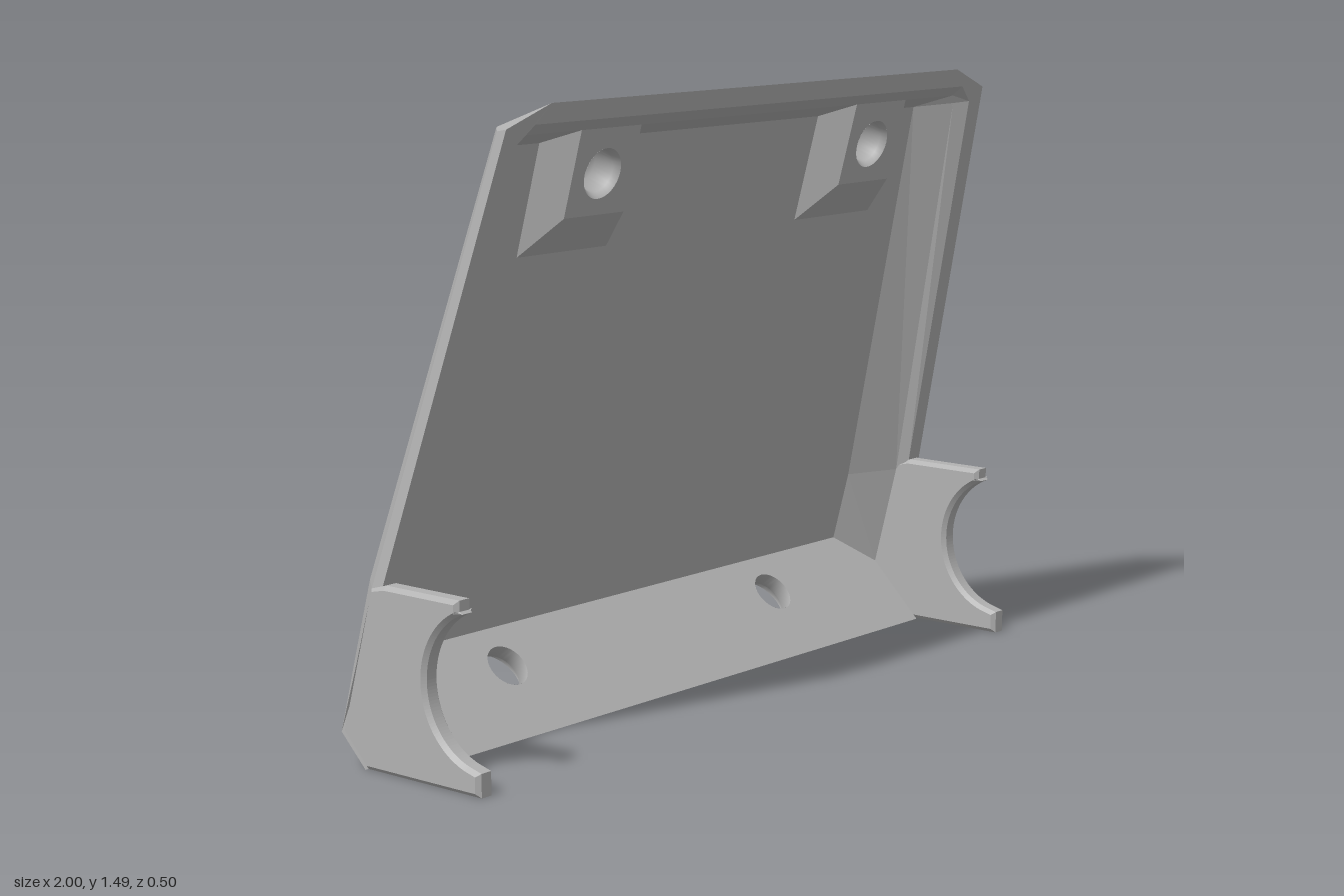
import * as THREE from 'three';

const grey = new THREE.MeshStandardMaterial({ color: 0xb2b2b2, side: THREE.DoubleSide });
grey.name = 'plain grey';

// Sloping planes of the leaning shell: z as a function of height
const zInner = y => -0.205 + 0.277 * (y - 0.22);
const zRim = y => -0.035 + 0.269 * (y - 0.43);
const zBoss = y => zInner(y) + 0.073;

const flip = row => row.map(([x, y, z]) => [-x, y, z]);
// Continue a left-hand row over the top and down the right-hand side
const arch = row => [...row, ...flip(row).reverse()];

// Flat-faced strip of quads between two rows of points
function strip(a, b) {
  const pos = [];
  for (let i = 0; i < a.length - 1; i++) {
    pos.push(...a[i], ...a[i + 1], ...b[i + 1], ...a[i], ...b[i + 1], ...b[i]);
  }
  const g = new THREE.BufferGeometry();
  g.setAttribute('position', new THREE.Float32BufferAttribute(pos, 3));
  g.computeVertexNormals();
  return g;
}

// Outline with elliptical holes, laid onto the plane z = rule(y)
function plate(points, holes, rule, mirrorX = 1) {
  const shape = new THREE.Shape(points.map(p => new THREE.Vector2(...p)));
  for (const [x, y, rx, ry] of holes) {
    const hole = new THREE.Path();
    hole.absellipse(x, y, rx, ry, 0, Math.PI * 2, true);
    shape.holes.push(hole);
  }
  const g = new THREE.ShapeGeometry(shape, 32);
  const p = g.attributes.position;
  for (let i = 0; i < p.count; i++) p.setXYZ(i, p.getX(i) * mirrorX, p.getY(i), rule(p.getY(i)));
  g.computeVertexNormals();
  return g;
}

export function createModel() {
  const group = new THREE.Group();
  const add = (name, geometry) => {
    const mesh = new THREE.Mesh(geometry, grey);
    mesh.name = name;
    group.add(mesh);
    return mesh;
  };
  const addBoth = (name, a, b) => {
    add(name + 'Left', strip(a, b));
    add(name + 'Right', strip(flip(b), flip(a)));
  };

  // Outer shell: back panel, slanted sides, side edges and top bevel
  const back = [[0.88, 0.15, -0.25], [0.88, 0.22, -0.25], [0.88, 0.4, -0.2], [0.75, 1.43, 0.085]];
  const side = [[1, 0.075, -0.175], [1, 0.24, -0.123], [1, 0.42, -0.07], [0.88, 1.435, 0.21]];
  const rimOuter = [[1, 0.43, -0.035], [0.88, 1.44, 0.237], [0.75, 1.49, 0.25]];
  add('backPanel', strip(flip(back), back));
  addBoth('sideBevel', back, side);
  addBoth('sideEdge', side.slice(2), rimOuter.slice(0, 2));
  add('topBevel', strip(arch([side[3], back[3]]), arch(rimOuter.slice(1))));

  // Front rim, its small step, and the inner walls
  const lip = [[0.955, 0.43], [0.835, 1.405], [0.79, 1.445]].map(([x, y]) => [x, y, zRim(y)]);
  const step = [[0.95, 0.4], [0.81, 1.4], [0.8, 1.42]].map(([x, y]) => [x, y, zRim(y) - 0.03]);
  const well = [[0.85, 0.39], [0.745, 1.39], [0.745, 1.39]].map(([x, y]) => [x, y, zInner(y)]);
  add('frontRim', strip(arch(rimOuter), arch(lip)));
  add('rimStep', strip(arch(lip), arch(step)));
  add('innerWall', strip(arch(step), arch(well)));

  // Inner panel and the lower ends of the inner walls
  const foot = [0.855, 0.21, -0.21];
  const inner = [foot, well[0], well[1]];
  add('innerPanel', strip(inner, flip(inner)));
  addBoth('lowerInnerWall', [[0.95, 0.14, -0.14], step[0]], [foot, well[0]]);

  // Thick 45 degree floor with two counterbored screw holes
  const k = Math.SQRT1_2;
  const floorHoles = (y, r) => [-0.5, 0.5].map(x => [x, y, r, r * k]);
  add('floorOutside', plate(
    [[-1, 0], [1, 0], [1, 0.075], [0.88, 0.15], [-0.88, 0.15], [-1, 0.075]],
    floorHoles(0.085, 0.08), y => -0.1 - y, -1));
  add('floorInside', plate(
    [[-0.95, 0], [0.95, 0], [0.95, 0.14], [0.855, 0.21], [-0.855, 0.21], [-0.95, 0.14]],
    floorHoles(0.135, 0.055), y => -y));
  add('floorEdge', strip([[-0.95, 0, -0.1], [0.95, 0, -0.1]], [[-0.95, 0, 0], [0.95, 0, 0]]));

  const holeWall = (name, profile, x, y, z, tilt) => {
    const mesh = add(name, new THREE.LatheGeometry(
      profile.map(p => new THREE.Vector2(...p)), 32).toNonIndexed());
    mesh.position.set(x, y, z);
    mesh.rotation.x = tilt;
  };

  for (const s of [-1, 1]) {
    const x = 0.5 * s;
    holeWall('floorScrewHole', [[0.08, 0], [0.08, 0.018], [0.055, 0.03], [0.055, 0.0707]],
      x, 0.085, -0.185, Math.PI / 4);

    // Screw boss under the top edge, with a blind hole
    const base = [[-0.15, 1.39], [-0.15, 1.13], [0.15, 1.13], [0.15, 1.39]]
      .map(([dx, y]) => [x + dx, y, zInner(y)]);
    const face = [[-0.1, 1.42], [-0.1, 1.22], [0.1, 1.22], [0.1, 1.42]];
    add('bossSides', strip(base, face.map(([dx, y]) => [x + dx, y, zBoss(y)])));
    add('bossFace', plate(face.map(([dx, y]) => [x + dx, y]), [[x, 1.315, 0.06, 0.058]], zBoss));
    holeWall('bossHole', [[0, -0.07], [0.05, -0.07], [0.05, -0.015], [0.06, 0]],
      x, 1.315, zBoss(1.315), Math.PI / 2 + 0.27);
  }

  // Side ears with a round cut-out and chamfered edges, drawn in z and y
  const ear = new THREE.Shape();
  ear.moveTo(-0.1, 0);
  ear.lineTo(0.25, 0);
  ear.lineTo(0.25, 0.055);
  const start = Math.atan2(-0.17, -0.053), end = Math.atan2(0.165, -0.067);
  ear.absarc(0.265, 0.235, 0.178, start, end, true);
  ear.lineTo(0.19, 0.405);
  ear.lineTo(0.19, 0.43);
  ear.lineTo(-0.035, 0.43);
  ear.lineTo(-0.08, 0.42);
  ear.lineTo(-0.175, 0.075);
  for (const s of [-1, 1]) {
    const g = new THREE.ExtrudeGeometry(ear, {
      depth: 0.03, curveSegments: 28, bevelEnabled: true, bevelSegments: 1,
      bevelSize: 0.01, bevelThickness: 0.01, bevelOffset: -0.01,
    });
    g.rotateY(-Math.PI / 2).translate(s > 0 ? 0.99 : -0.96, 0, 0);
    add(s > 0 ? 'leftEar' : 'rightEar', g);
  }
  return group;
}
